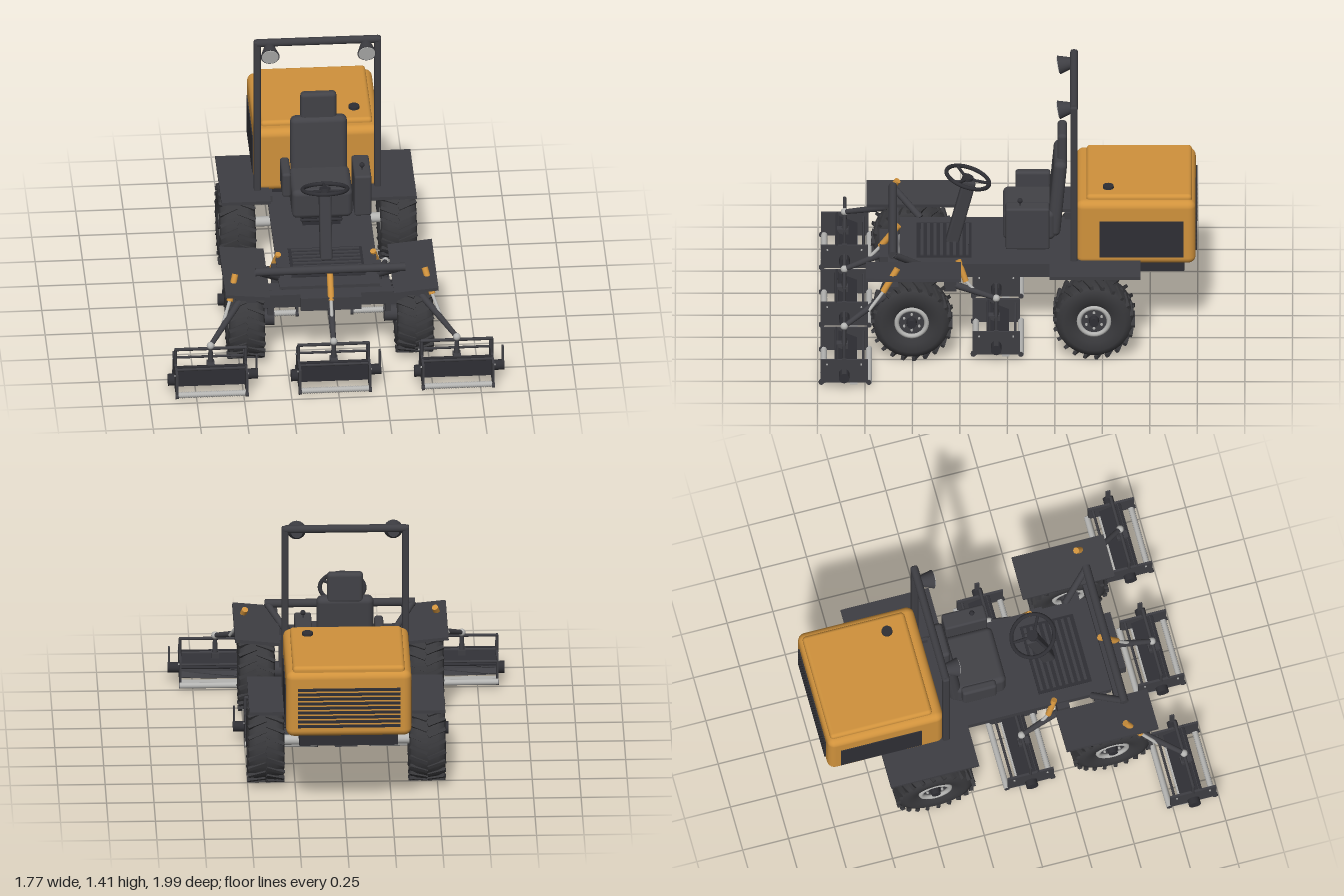
import * as THREE from 'three';
import { RoundedBoxGeometry } from 'three/addons/geometries/RoundedBoxGeometry.js';

const mat = (name, color) => {
  const m = new THREE.MeshStandardMaterial({ color });
  m.name = name;
  return m;
};
const M = {
  orange: mat('orange paint', 0xd0923c),
  frame: mat('dark frame', 0x3e3e43),
  seat: mat('seat vinyl', 0x424247),
  tire: mat('tire rubber', 0x38383b),
  panel: mat('dark panel', 0x2f2f34),
  steel: mat('light steel', 0xb4b4b2),
};
const V = (x, y, z) => new THREE.Vector3(x, y, z);

function add(parent, name, geo, material, x = 0, y = 0, z = 0) {
  const m = new THREE.Mesh(geo, material);
  m.name = name;
  m.position.set(x, y, z);
  parent.add(m);
  return m;
}
// Box given by its min/max limits; r > 0 rounds the edges
function box(parent, name, material, x0, x1, y0, y1, z0, z1, r = 0) {
  const s = [x1 - x0, y1 - y0, z1 - z0];
  const g = r ? new RoundedBoxGeometry(...s, 3, r) : new THREE.BoxGeometry(...s);
  return add(parent, name, g, material, (x0 + x1) / 2, (y0 + y1) / 2, (z0 + z1) / 2);
}
// Cylinder between two points
function rod(parent, name, material, a, b, r, r2 = r, sides = 16) {
  const d = b.clone().sub(a);
  const m = add(parent, name, new THREE.CylinderGeometry(r2, r, d.length(), sides), material);
  m.position.copy(a).addScaledVector(d, 0.5);
  m.quaternion.setFromUnitVectors(V(0, 1, 0), d.normalize());
  return m;
}
const ball = (p, name, material, c, r) => add(p, name, new THREE.SphereGeometry(r, 16, 12), material, c.x, c.y, c.z);

// Wheel with axis along x, outer face toward +x
function wheel(name) {
  const g = new THREE.Group();
  g.name = name;
  const pts = [[0.085, -0.07], [0.12, -0.092], [0.165, -0.096], [0.195, -0.085], [0.205, -0.055], [0.207, 0],
    [0.205, 0.055], [0.195, 0.085], [0.165, 0.096], [0.12, 0.092], [0.085, 0.07]];
  const tire = add(g, 'tire', new THREE.LatheGeometry(pts.map(p => new THREE.Vector2(...p)), 40), M.tire);
  tire.rotation.z = -Math.PI / 2;
  const n = 22;
  for (let i = 0; i < n; i++) for (const s of [-1, 1]) {
    const lug = new THREE.Group();
    lug.rotation.x = (i + (s > 0 ? 0.5 : 0)) / n * Math.PI * 2;
    add(lug, 'treadLug', new THREE.BoxGeometry(0.1, 0.02, 0.018), M.tire, s * 0.048, 0.205, 0).rotation.y = s * 0.4;
    g.add(lug);
  }
  rod(g, 'rimDisc', M.frame, V(-0.06, 0, 0), V(0.06, 0, 0), 0.087, 0.087, 32);
  for (const x of [-0.072, 0.072]) {
    add(g, 'rimRing', new THREE.TorusGeometry(0.079, 0.013, 8, 32), M.steel, x).rotation.y = Math.PI / 2;
  }
  rod(g, 'hub', M.panel, V(0.06, 0, 0), V(0.095, 0, 0), 0.028, 0.024, 20);
  for (let i = 0; i < 6; i++) {
    const a = i * Math.PI / 3, y = 0.046 * Math.cos(a), z = 0.046 * Math.sin(a);
    rod(g, 'wheelBolt', M.steel, V(0.06, y, z), V(0.07, y, z), 0.007, 0.007, 6);
  }
  return g;
}

// Reel mower head, centred in x and z, standing on the ground
function cuttingUnit(name) {
  const g = new THREE.Group();
  g.name = name;
  const w = 0.19;
  for (const s of [-1, 1]) {
    const x = s * (w - 0.005);
    box(g, 'endPlate', M.frame, x - 0.006, x + 0.006, 0.03, 0.165, -0.125, 0.125);
    rod(g, 'hoopPost', M.frame, V(x, 0.15, 0), V(x, 0.248, 0), 0.008, 0.008, 8);
    for (const z of [-0.13, 0.12]) rod(g, 'rollerCap', M.frame, V(x - 0.008, 0.032, z), V(x + 0.008, 0.032, z), 0.014);
    for (const z of [-0.09, 0.09]) rod(g, 'plateBolt', M.steel, V(x, 0.14, z), V(x + s * 0.012, 0.14, z), 0.005, 0.005, 6);
  }
  rod(g, 'hoopBar', M.frame, V(-w, 0.248, 0), V(w, 0.248, 0), 0.009, 0.009, 8);
  rod(g, 'rearRoller', M.steel, V(-w, 0.035, -0.13), V(w, 0.035, -0.13), 0.016);
  // Grooved front roller
  const groove = [];
  for (let i = 0; i <= 60; i++) groove.push(new THREE.Vector2(i % 2 ? 0.013 : 0.018, -0.18 + i * 0.006));
  add(g, 'frontRoller', new THREE.LatheGeometry(groove, 12), M.steel, 0, 0.033, 0.108).rotation.z = -Math.PI / 2;
  // Housing
  box(g, 'frontPanel', M.panel, -w, w, 0.05, 0.165, 0.035, 0.047);
  box(g, 'deck', M.panel, -w, w, -0.004, 0.004, -0.055, 0.055).position.set(0, 0.125, -0.015);
  g.children[g.children.length - 1].rotation.x = -0.4;
  rod(g, 'crossTube', M.frame, V(-w, 0.15, 0.04), V(w, 0.15, 0.04), 0.011, 0.011, 10);
  rod(g, 'rearTube', M.frame, V(-w, 0.14, -0.1), V(w, 0.14, -0.1), 0.007, 0.007, 8);
  box(g, 'bedKnife', M.steel, -w, w, 0.018, 0.026, -0.07, -0.03);
  // Reel with twisted blades
  rod(g, 'reelShaft', M.frame, V(-w, 0.075, -0.01), V(w, 0.075, -0.01), 0.014);
  for (let i = 0; i < 7; i++) {
    const geo = new THREE.BoxGeometry(0.36, 0.036, 0.004, 10, 1, 1).translate(0, 0.03, 0);
    const p = geo.attributes.position;
    for (let k = 0; k < p.count; k++) {
      const v = V(p.getX(k), p.getY(k), p.getZ(k)).applyAxisAngle(V(1, 0, 0), p.getX(k) * 2.6 + i * Math.PI * 2 / 7);
      p.setXYZ(k, v.x, v.y, v.z);
    }
    geo.computeVertexNormals();
    add(g, 'reelBlade', geo, M.frame, 0, 0.075, -0.01);
  }
  // Drive motor on the left, counterweight on the right
  rod(g, 'reelMotor', M.panel, V(w, 0.085, 0), V(0.25, 0.085, 0), 0.028);
  box(g, 'motorBracket', M.frame, 0.238, 0.248, 0.08, 0.2, -0.012, 0.012);
  rod(g, 'counterweight', M.panel, V(-0.225, 0.065, 0), V(-w, 0.065, 0), 0.032);
  // Mounting yoke
  box(g, 'yoke', M.frame, -0.02, 0.02, 0.14, 0.17, -0.02, 0.04);
  rod(g, 'pivotPost', M.frame, V(0, 0.15, 0), V(0, 0.26, 0), 0.016, 0.01);
  ball(g, 'pivotBall', M.steel, V(0, 0.265, 0), 0.02);
  return g;
}

export function createModel() {
  const model = new THREE.Group();
  model.name = 'reelMower';
  const b = new THREE.Group();
  b.name = 'machine';
  b.position.x = -0.02;
  model.add(b);

  // Chassis
  box(b, 'chassis', M.frame, -0.25, 0.25, 0.35, 0.42, -0.64, 0.57);
  box(b, 'floor', M.frame, -0.265, 0.265, 0.42, 0.435, -0.4, 0.57);
  box(b, 'engineTray', M.panel, -0.26, 0.26, 0.392, 0.468, -0.93, -0.42);
  box(b, 'frontBeam', M.frame, -0.5, 0.5, 0.345, 0.42, 0.575, 0.63);
  box(b, 'frontBlock', M.frame, -0.16, 0.16, 0.345, 0.42, 0.62, 0.675);
  box(b, 'floorMat', M.panel, -0.195, 0.195, 0.435, 0.44, 0.19, 0.48);
  for (let i = 0; i < 8; i++) box(b, 'matRib', M.frame, -0.18, 0.18, 0.44, 0.446, 0.205 + i * 0.034, 0.22 + i * 0.034);

  // Wheels, axles and fenders
  for (const s of [-1, 1]) {
    for (const [n, x, z] of [['frontWheel', 0.445, 0.505], ['rearWheel', 0.425, -0.455]]) {
      const wh = wheel(n);
      wh.position.set(s * x, 0.217, z);
      if (s < 0) wh.rotation.y = Math.PI;
      b.add(wh);
    }
    rod(b, 'wheelMotor', M.frame, V(s * 0.29, 0.217, 0.505), V(s * 0.4, 0.217, 0.505), 0.045);
    box(b, 'motorHanger', M.frame, s * 0.31 - 0.015, s * 0.31 + 0.015, 0.2, 0.4, 0.47, 0.54);
    box(b, 'hangerArm', M.frame, s * 0.285 - 0.04, s * 0.285 + 0.04, 0.36, 0.4, 0.47, 0.54);
    box(b, 'frontFender', M.frame, s * 0.445 - 0.118, s * 0.445 + 0.118, 0.472, 0.49, 0.245, 0.745).rotation.z = s * 0.1;
    box(b, 'rearFender', M.frame, s * 0.385 - 0.13, s * 0.385 + 0.13, 0.47, 0.488, -0.7, -0.22);
    box(b, 'fenderBracket', M.frame, s * 0.27 - 0.03, s * 0.27 + 0.03, 0.42, 0.472, -0.42, -0.3);
    // Front rail braces
    rod(b, 'railBrace', M.frame, V(s * 0.385, 0.553, 0.605), V(s * 0.27, 0.43, 0.46), 0.018);
    // Outer lift arms
    rod(b, 'outerLiftArm', M.frame, V(s * 0.47, 0.39, 0.6), V(s * 0.65, 0.265, 0.86), 0.02, 0.013);
    rod(b, 'outerCylinder', M.orange, V(s * 0.5, 0.53, 0.58), V(s * 0.535, 0.41, 0.655), 0.017);
    rod(b, 'outerCylinderRod', M.steel, V(s * 0.535, 0.41, 0.655), V(s * 0.575, 0.32, 0.73), 0.009);
    // Rear lift arms
    box(b, 'rearArmBracket', M.frame, s * 0.265 - 0.025, s * 0.265 + 0.025, 0.285, 0.4, 0.27, 0.335);
    rod(b, 'rearLiftArm', M.frame, V(s * 0.265, 0.32, 0.3), V(s * 0.33, 0.265, 0.06), 0.02, 0.013);
    rod(b, 'rearCylinder', M.orange, V(s * 0.25, 0.45, 0.26), V(s * 0.28, 0.34, 0.22), 0.016);
    rod(b, 'rearCylinderRod', M.steel, V(s * 0.28, 0.34, 0.22), V(s * 0.3, 0.285, 0.165), 0.009);
  }
  rod(b, 'rearAxle', M.steel, V(-0.4, 0.225, -0.455), V(0.4, 0.225, -0.455), 0.027);
  box(b, 'axleMount', M.frame, -0.06, 0.06, 0.2, 0.36, -0.5, -0.41);
  rod(b, 'frontRail', M.frame, V(-0.395, 0.553, 0.605), V(0.395, 0.553, 0.605), 0.022);
  rod(b, 'centreLiftArm', M.frame, V(0, 0.37, 0.63), V(0, 0.265, 0.86), 0.02, 0.013);
  rod(b, 'centreCylinder', M.orange, V(0, 0.525, 0.575), V(0, 0.4, 0.67), 0.017);
  rod(b, 'centreCylinderRod', M.steel, V(0, 0.4, 0.67), V(0, 0.31, 0.75), 0.009);

  // Five cutting units
  for (const [x, z] of [[-0.65, 0.86], [0, 0.86], [0.65, 0.86], [-0.33, 0.06], [0.33, 0.06]]) {
    const u = cuttingUnit('cuttingUnit');
    u.position.set(x, 0, z);
    b.add(u);
  }

  // Engine hood
  box(b, 'hood', M.orange, -0.33, 0.33, 0.462, 0.832, -0.99, -0.36, 0.04);
  box(b, 'hoodLid', M.orange, -0.295, 0.295, 0.8, 0.858, -0.97, -0.415, 0.02);
  rod(b, 'fuelCap', M.panel, V(0.205, 0.85, -0.53), V(0.205, 0.872, -0.53), 0.03, 0.028, 20);
  for (const s of [-1, 1]) box(b, 'sidePanel', M.panel, s * 0.331 - 0.004, s * 0.331 + 0.004, 0.51, 0.722, -0.925, -0.485);
  for (let i = 0; i < 9; i++) box(b, 'grilleSlat', M.panel, -0.27, 0.27, 0.522 + i * 0.026, 0.536 + i * 0.026, -0.998, -0.988);

  // Roll bar and lamps
  for (const s of [-1, 1]) {
    box(b, 'rollBarPost', M.frame, s * 0.318 - 0.018, s * 0.318 + 0.018, 0.4, 1.4, -0.368, -0.33, 0.01);
    const lamp = new THREE.Group();
    lamp.name = 'workLamp';
    lamp.position.set(s * 0.255, 1.352, -0.3);
    lamp.rotation.x = 0.2;
    rod(lamp, 'lampBody', M.frame, V(0, 0, -0.035), V(0, 0, 0.032), 0.03, 0.05, 24);
    rod(lamp, 'lampLens', M.steel, V(0, 0, 0.03), V(0, 0, 0.036), 0.044, 0.044, 24);
    b.add(lamp);
  }
  rod(b, 'rollBarTop', M.frame, V(-0.32, 1.385, -0.349), V(0.32, 1.385, -0.349), 0.021);

  // Seat and consoles
  for (let i = 0; i < 3; i++) box(b, 'seatBellows', M.panel, -0.11, 0.11, 0.458 + i * 0.02, 0.476 + i * 0.02, -0.21, -0.04, 0.008);
  box(b, 'seatPedestal', M.panel, -0.1, 0.1, 0.43, 0.52, -0.2, -0.05);
  box(b, 'seatCushion', M.seat, -0.16, 0.16, 0.515, 0.685, -0.25, 0.025, 0.03);
  box(b, 'seatBack', M.seat, -0.15, 0.15, 0.53, 0.97, -0.295, -0.225, 0.03).rotation.x = -0.09;
  box(b, 'headrest', M.seat, -0.095, 0.095, 0.94, 1.11, -0.312, -0.262, 0.02);
  box(b, 'leftConsole', M.seat, 0.17, 0.26, 0.515, 0.757, -0.22, 0.01, 0.012);
  box(b, 'rightArmrest', M.seat, -0.208, -0.16, 0.615, 0.757, -0.225, -0.04, 0.015);
  rod(b, 'controlLever', M.frame, V(0.215, 0.75, -0.065), V(0.215, 0.785, -0.065), 0.005);
  ball(b, 'leverKnob', M.panel, V(0.215, 0.785, -0.065), 0.014);

  // Steering column and wheel
  box(b, 'steeringColumn', M.frame, -0.032, 0.032, -0.19, 0.19, -0.035, 0.035, 0.012).position.set(0, 0.615, 0.247);
  b.children[b.children.length - 1].rotation.x = -0.25;
  const sw = new THREE.Group();
  sw.name = 'steeringWheel';
  sw.position.set(0, 0.81, 0.21);
  sw.rotation.x = -0.3;
  add(sw, 'steeringRim', new THREE.TorusGeometry(0.118, 0.011, 10, 40), M.panel).rotation.x = Math.PI / 2;
  rod(sw, 'steeringHub', M.panel, V(0, -0.03, 0), V(0, 0.008, 0), 0.03);
  for (let i = 0; i < 3; i++) {
    const a = i * Math.PI * 2 / 3 - Math.PI / 2;
    rod(sw, 'steeringSpoke', M.panel, V(0, -0.01, 0), V(0.115 * Math.cos(a), 0, 0.115 * Math.sin(a)), 0.008);
  }
  b.add(sw);
  return model;
}
